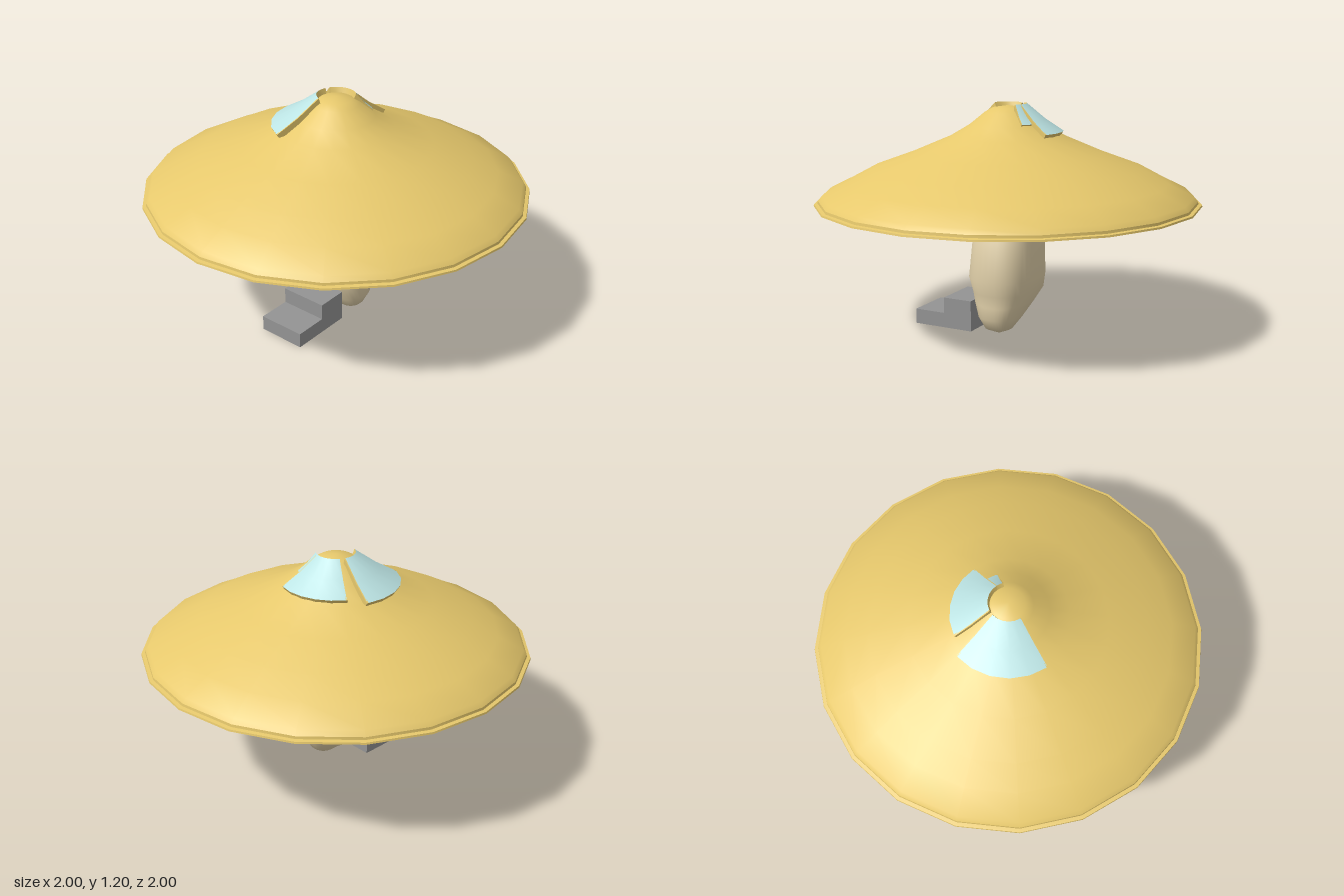
import * as THREE from 'three';
import { toCreasedNormals } from 'three/addons/utils/BufferGeometryUtils.js';

const yellow = new THREE.MeshStandardMaterial({ color: 0xe6c86c });
const tan = new THREE.MeshStandardMaterial({ color: 0xe2d1aa });
const blue = new THREE.MeshStandardMaterial({ color: 0xbce4e4 });
const grey = new THREE.MeshStandardMaterial({ color: 0x949494 });
const tanThin = tan.clone();
tanThin.side = THREE.DoubleSide;

function lathe(points, segments, start = 0, length = Math.PI * 2) {
  const profile = points.map(([r, y]) => new THREE.Vector2(r, y));
  return new THREE.LatheGeometry(profile, segments, start, length);
}

function addMesh(parent, name, geometry, material) {
  const mesh = new THREE.Mesh(geometry, material);
  mesh.name = name;
  parent.add(mesh);
  return mesh;
}

// Leaning, slightly squared stem with a doorway recess on the -x side
function stemGeometry() {
  // y, half width in x, centre z, half depth in z, doorway recess
  const rings = [
    [0, 0.001, 0.1, 0.001, 0], [0.03, 0.07, 0.1, 0.07, 0], [0.09, 0.11, 0.08, 0.12, 0],
    [0.155, 0.14, 0.035, 0.17, 0], [0.165, 0.145, 0.03, 0.175, 1], [0.22, 0.165, -0.01, 0.22, 1],
    [0.3, 0.183, 0.003, 0.226, 1], [0.5, 0.177, -0.012, 0.198, 1], [0.51, 0.177, -0.013, 0.196, 0],
    [0.59, 0.175, -0.02, 0.182, 0], [0.74, 0.172, -0.02, 0.182, 0],
  ];
  const geo = lathe(rings.map((r) => [1, r[0]]), 40);
  const pos = geo.attributes.position;
  const square = (c) => Math.sign(c) * Math.abs(c) ** 0.85;
  for (let i = 0; i < pos.count; i++) {
    const [y, rx, cz, rz, door] = rings[i % rings.length];
    let x = square(pos.getX(i)) * rx;
    const z = cz + square(pos.getZ(i)) * rz;
    if (door && x < 0 && z > -0.07 && z < 0.075) x = Math.max(x, -0.13);
    pos.setXYZ(i, x, y, z);
  }
  return toCreasedNormals(geo, 0.9);
}

// Hollow underside that curls down to the stem, lowest on the +x side
function undersideGeometry() {
  // radius, y, share of the sideways dip
  const profile = [
    [0.165, 0.65, 1], [0.2, 0.68, 1], [0.27, 0.765, 0.8], [0.34, 0.825, 0.4], [0.42, 0.85, 0],
    [0.55, 0.835, 0], [0.75, 0.775, 0], [1, 0.69, 0],
  ];
  const geo = lathe(profile, 20);
  const pos = geo.attributes.position;
  for (let i = 0; i < pos.count; i++) {
    const [r, y, dip] = profile[i % profile.length];
    const toward = (pos.getX(i) * 0.93 + pos.getZ(i) * 0.37) / r;
    pos.setY(i, y - 0.07 * dip * toward);
  }
  geo.computeVertexNormals();
  return geo;
}

// Curved awning: blue top, yellow underside and ends
function skylight(name, from, to, outer, outerY) {
  const group = new THREE.Group();
  group.name = name;
  const start = THREE.MathUtils.degToRad(from);
  const length = THREE.MathUtils.degToRad(to - from);
  const mid = [(outer + 0.1) / 2, (outerY + 1.2) / 2 - 0.008];
  addMesh(group, 'skylightPane', lathe([[outer, outerY], mid, [0.1, 1.2]], 5, start, length), blue);
  const under = [[0.1, 1.2], [0.09, 1.17], [mid[0] - 0.02, mid[1] - 0.02], [outer - 0.01, outerY - 0.018], [outer, outerY]];
  addMesh(group, 'skylightUnderside', toCreasedNormals(lathe(under, 5, start, length), 0.6), yellow);

  // Close both ends down to the cap
  for (const angle of [start, start + length]) {
    const end = new THREE.Shape([
      [0.08, 1.14], [outer - 0.09, outerY - 0.01], [outer - 0.01, outerY - 0.018],
      [outer, outerY], [mid[0], mid[1] - 0.002], [0.1, 1.198],
    ].map(([x, y]) => new THREE.Vector2(x, y)));
    const geo = new THREE.ExtrudeGeometry(end, { depth: 0.01, bevelEnabled: false });
    geo.translate(0, 0, -0.005);
    geo.rotateY(angle - Math.PI / 2);
    addMesh(group, 'skylightEnd', geo, yellow);
  }
  return group;
}

export function createModel() {
  const model = new THREE.Group();
  model.name = 'mushroomHouse';

  // Wide conical cap with a thin stepped rim
  const capProfile = [
    [1, 0.69], [0.998, 0.699], [0.98, 0.702], [0.978, 0.715], [0.96, 0.738], [0.83, 0.802],
    [0.7, 0.872], [0.5, 0.945], [0.3, 1.03], [0.2, 1.09], [0.12, 1.155], [0.08, 1.178], [0, 1.19],
  ];
  addMesh(model, 'cap', toCreasedNormals(lathe(capProfile, 20), 0.5), yellow);

  addMesh(model, 'capUnderside', undersideGeometry(), tanThin);
  addMesh(model, 'stem', stemGeometry(), tan);

  // Skylights around the peak
  model.add(skylight('backSkylight', 164, 247, 0.33, 1.05));
  model.add(skylight('leftSkylight', 69, 147, 0.287, 1.06));
  model.add(skylight('leftSkylightCorner', 50, 69, 0.19, 1.105));

  // Two steps leading to the doorway
  const stepShape = new THREE.Shape([
    [-0.48, 0], [-0.14, 0], [-0.14, 0.165], [-0.305, 0.165], [-0.305, 0.08], [-0.48, 0.08],
  ].map(([x, y]) => new THREE.Vector2(x, y)));
  const steps = new THREE.ExtrudeGeometry(stepShape, { depth: 0.255, bevelEnabled: false });
  steps.translate(0, 0, -0.1);
  addMesh(model, 'steps', steps, grey);

  return model;
}
